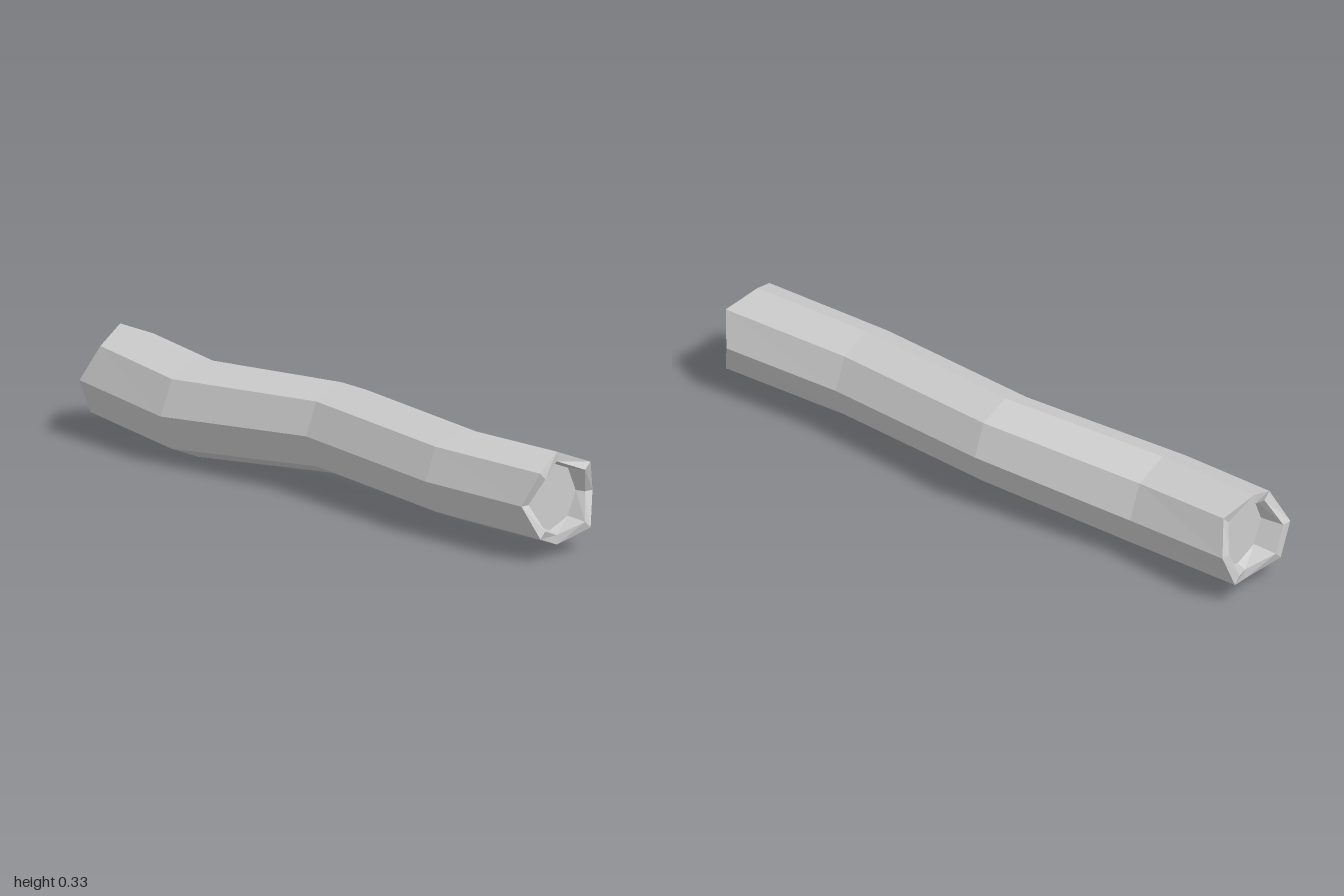
import * as THREE from 'three';

const SIDES = 8;

// Octagonal ring with a corner at the top; z is one depth or a depth per corner
function ring(x, y, r, z) {
  return Array.from({ length: SIDES }, (_, k) => {
    const a = Math.PI / 2 + (k * Math.PI * 2) / SIDES;
    return [x + r * Math.cos(a), y + r * Math.sin(a), Array.isArray(z) ? z[k] : z];
  });
}

// Skin a list of rings, optionally closing the first or last one
function loft(rings, { capFirst, capLast } = {}) {
  const p = [];
  const tri = (a, b, c) => p.push(...a, ...b, ...c);
  const centre = (r) => [0, 1, 2].map((i) => r.reduce((s, v) => s + v[i], 0) / SIDES);
  for (let k = 0; k < SIDES; k++) {
    const n = (k + 1) % SIDES;
    for (let i = 0; i < rings.length - 1; i++) {
      const a = rings[i], b = rings[i + 1];
      tri(a[k], b[k], a[n]);
      tri(b[k], b[n], a[n]);
    }
    if (capFirst) tri(centre(rings[0]), rings[0][k], rings[0][n]);
    const last = rings[rings.length - 1];
    if (capLast) tri(centre(last), last[n], last[k]);
  }
  const g = new THREE.BufferGeometry();
  g.setAttribute('position', new THREE.Float32BufferAttribute(p, 3));
  g.computeVertexNormals(); // unshared corners give flat facets
  return g;
}

export function createModel() {
  const group = new THREE.Group();
  const grey = new THREE.MeshStandardMaterial({ color: 0xcccccc });
  grey.name = 'paleGrey';

  const add = (name, geometry) => {
    const mesh = new THREE.Mesh(geometry, grey);
    mesh.name = name;
    group.add(mesh);
  };

  // Jagged depths of the two ends, from the top corner round by the model's right
  const frontZ = [0.962, 1, 0.962, 1, 0.962, 1, 0.962, 1];
  const backZ = [-0.985, -0.955, -1, -1, -0.95, -1, -0.988, -0.955];

  const frontOuter = ring(0.003, 0.18, 0.145, frontZ);
  const frontInner = ring(0.002, 0.18, 0.115, frontZ);
  const frontFloor = ring(0.002, 0.18, 0.106, 0.93);
  const backOuter = ring(0.002, 0.182, 0.152, backZ);
  const backInner = ring(0.002, 0.182, 0.12, backZ);
  const backFloor = ring(0.002, 0.182, 0.11, -0.92);

  // Bending trunk
  add('trunk', loft([
    frontOuter,
    ring(-0.014, 0.178, 0.143, 0.55),
    ring(0.039, 0.191, 0.143, -0.04),
    ring(-0.031, 0.155, 0.154, -0.6),
    backOuter,
  ]));

  // Rims
  add('frontRim', loft([frontInner, frontOuter]));
  add('backRim', loft([backOuter, backInner]));

  // Shallow recesses in the ends
  add('frontRecess', loft([frontFloor, frontInner], { capFirst: true }));
  add('backRecess', loft([backInner, backFloor], { capLast: true }));

  return group;
}
